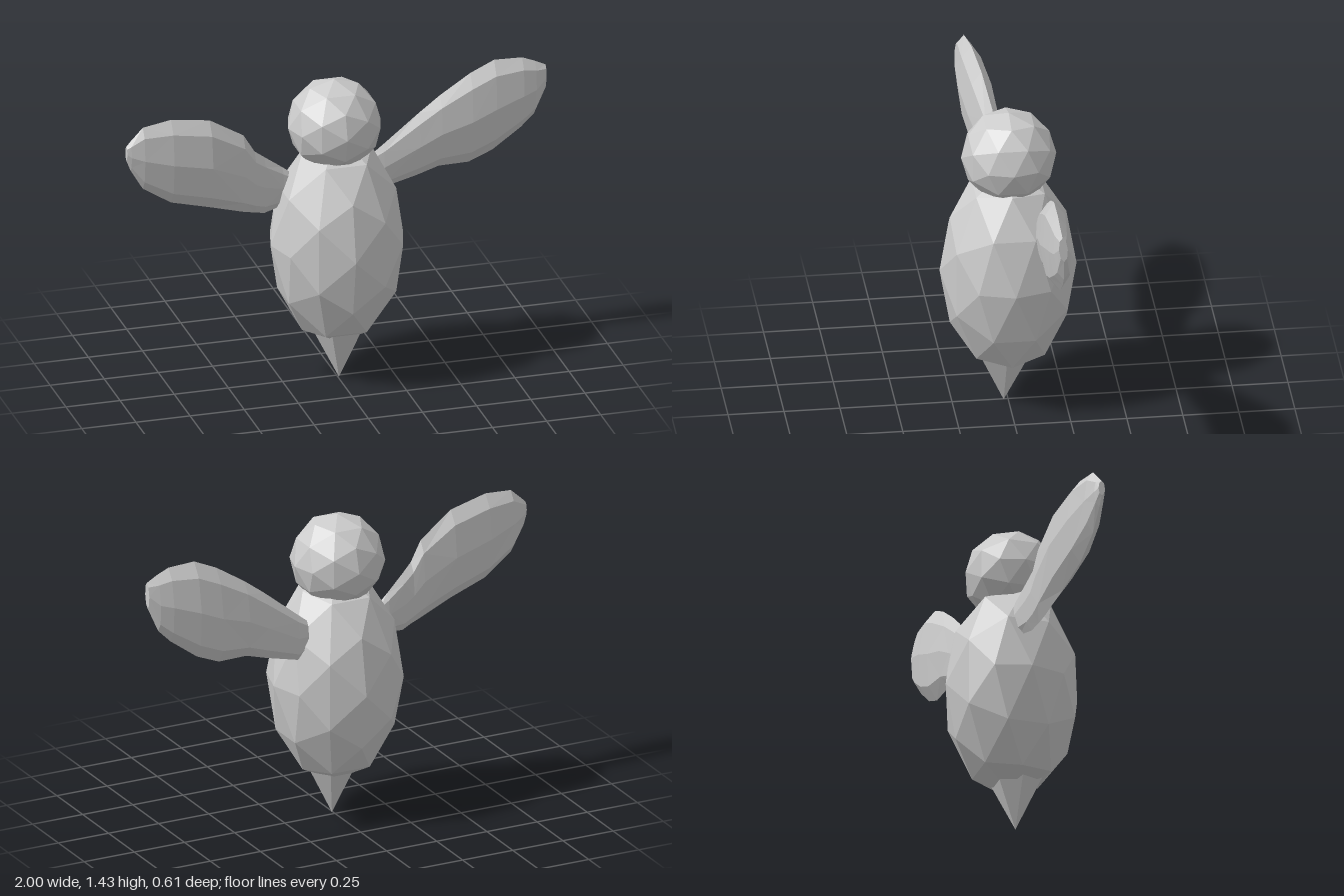
import * as THREE from 'three';

const material = new THREE.MeshStandardMaterial({ color: 0xcccccc, flatShading: true });

function addMesh(group, name, geometry, position = [0, 0, 0]) {
  const mesh = new THREE.Mesh(geometry, material);
  mesh.name = name;
  mesh.position.set(...position);
  group.add(mesh);
  return mesh;
}

// Wing: lens-shaped rings along x. Station = [x, top y, bottom y, mid z, half thickness]
function wingGeometry(stations, lean) {
  const sides = 8, points = [], index = [];
  for (const [x, top, bottom, z, thick] of stations) {
    for (let i = 0; i < sides; i++) {
      const a = (i / sides) * Math.PI * 2;
      const dy = Math.cos(a) * (top - bottom) / 2;
      points.push(x, (top + bottom) / 2 + dy, z + Math.sin(a) * thick + dy * lean);
    }
  }
  const last = (stations.length - 1) * sides;
  for (let s = 0; s < stations.length - 1; s++) {
    for (let i = 0; i < sides; i++) {
      const a = s * sides + i, b = s * sides + (i + 1) % sides;
      const c = a + sides, d = b + sides;
      if ((s + i) % 2) index.push(a, c, b, b, c, d);
      else index.push(a, c, d, a, d, b);
    }
  }
  // flat end caps
  for (let i = 1; i < sides - 1; i++) {
    index.push(0, i, i + 1, last, last + i + 1, last + i);
  }
  // stations always run towards +x, where the ring order (y to z) faces outwards when reversed
  for (let i = 0; i < index.length; i += 3) {
    [index[i + 1], index[i + 2]] = [index[i + 2], index[i + 1]];
  }
  const geometry = new THREE.BufferGeometry();
  geometry.setAttribute('position', new THREE.Float32BufferAttribute(points, 3));
  geometry.setIndex(index);
  geometry.computeVertexNormals();
  return geometry;
}

export function createModel() {
  const bird = new THREE.Group();
  bird.name = 'bird';

  // Faceted body and head
  addMesh(bird, 'body', new THREE.IcosahedronGeometry(1, 1), [0, 0.665, 0]).scale.set(0.306, 0.5, 0.306);
  addMesh(bird, 'head', new THREE.IcosahedronGeometry(0.213, 1), [-0.01, 1.218, -0.004]);

  // Six-sided pointed tail, apex down
  const tail = new THREE.ConeGeometry(0.13, 0.26, 6);
  tail.rotateY(Math.PI / 6);
  tail.rotateX(Math.PI);
  addMesh(bird, 'tail', tail, [0.005, 0.13, 0.02]);

  // Left wing, swept slightly behind the body
  addMesh(bird, 'leftWing', wingGeometry([
    [0.20, 1.00, 0.86, -0.12, 0.018],
    [0.25, 1.04, 0.825, -0.12, 0.026],
    [0.41, 1.17, 0.865, -0.12, 0.042],
    [0.51, 1.245, 0.895, -0.122, 0.052],
    [0.65, 1.335, 0.895, -0.125, 0.062],
    [0.76, 1.385, 0.94, -0.126, 0.062],
    [0.89, 1.38, 1.035, -0.125, 0.05],
    [0.95, 1.355, 1.095, -0.125, 0.038],
    [1.00, 1.33, 1.21, -0.125, 0.02],
  ], 0.06), [0, 0, 0]);

  // Right wing, swept slightly forward
  addMesh(bird, 'rightWing', wingGeometry([
    [-1.00, 1.27, 1.20, 0.10, 0.015],
    [-0.98, 1.29, 1.15, 0.095, 0.025],
    [-0.92, 1.345, 1.05, 0.085, 0.042],
    [-0.785, 1.36, 0.96, 0.068, 0.06],
    [-0.60, 1.325, 0.905, 0.045, 0.062],
    [-0.435, 1.22, 0.85, 0.016, 0.045],
    [-0.38, 1.13, 0.835, 0.004, 0.038],
    [-0.33, 1.09, 0.82, -0.012, 0.034],
    [-0.24, 1.02, 0.835, -0.037, 0.028],
    [-0.19, 0.98, 0.86, -0.045, 0.025],
  ], 0), [0, 0, 0]);

  return bird;
}
